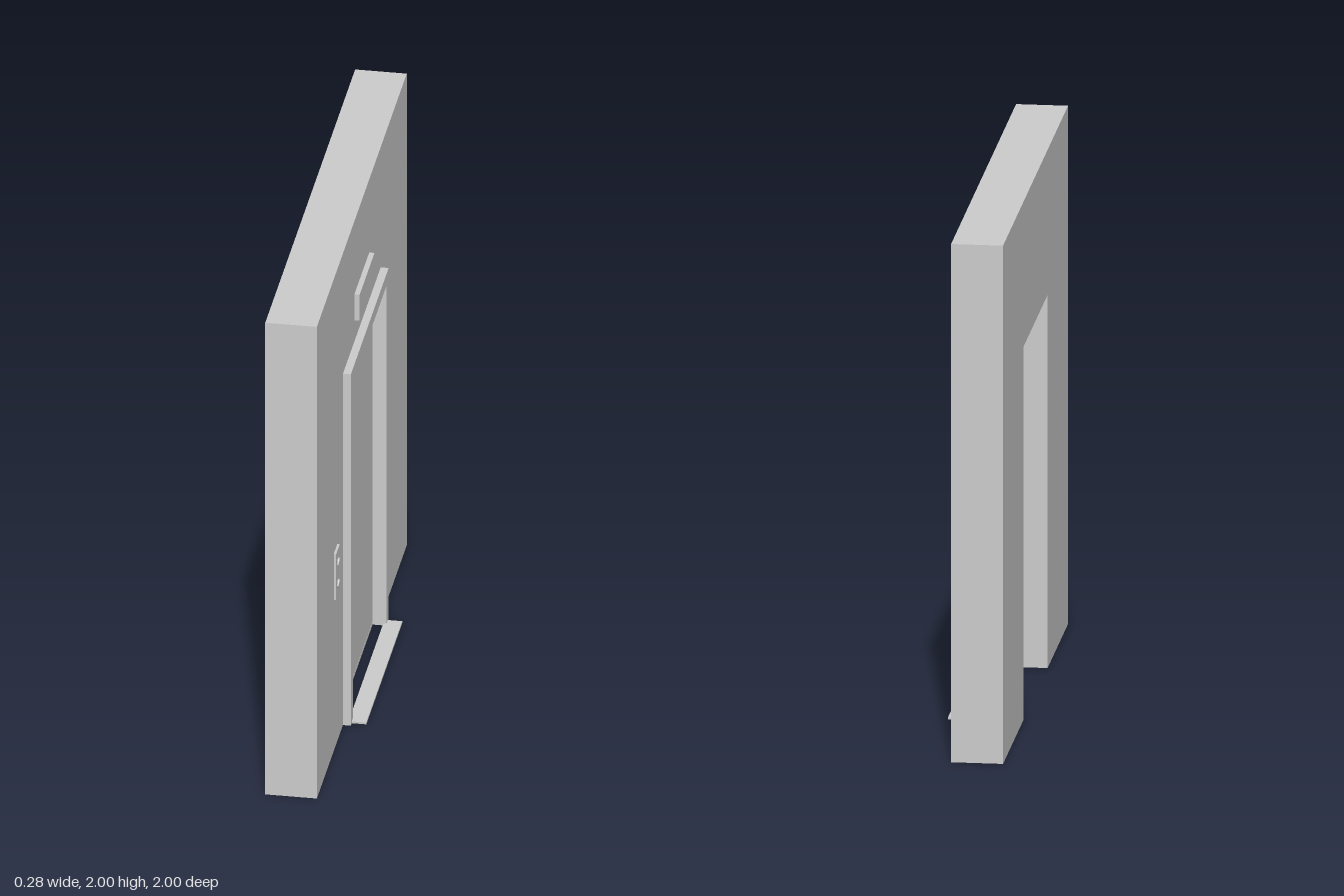
import * as THREE from 'three';

const material = new THREE.MeshStandardMaterial({ color: 0xcccccc });

export function createModel() {
  const model = new THREE.Group();
  model.name = 'elevatorEntrance';

  // Box given by its extents on each axis
  const box = (name, [x0, x1], [y0, y1], [z0, z1]) => {
    const mesh = new THREE.Mesh(new THREE.BoxGeometry(x1 - x0, y1 - y0, z1 - z0), material);
    mesh.position.set((x0 + x1) / 2, (y0 + y1) / 2, (z0 + z1) / 2);
    mesh.name = name;
    model.add(mesh);
    return mesh;
  };
  const span = (a, b, side) => (side > 0 ? [a, b] : [-b, -a]);

  const back = -0.14, face = 0.055, frameFace = 0.085;

  // Wall sections either side of the doorway and above it
  for (const side of [1, -1]) box('wallSide', [back, face], [0, 2], span(0.42, 1, side));
  box('wallHeader', [back, face], [1.49, 2], [-0.42, 0.42]);

  // Door frame: one U-shaped section running through the wall
  const outline = new THREE.Shape();
  [[-0.42, 0], [-0.37, 0], [-0.37, 1.44], [0.37, 1.44], [0.37, 0], [0.42, 0], [0.42, 1.49], [-0.42, 1.49]]
    .forEach(([x, y], i) => (i ? outline.lineTo(x, y) : outline.moveTo(x, y)));
  const frame = new THREE.Mesh(
    new THREE.ExtrudeGeometry(outline, { depth: frameFace - back, bevelEnabled: false }), material);
  frame.rotation.y = Math.PI / 2;
  frame.position.x = back;
  frame.name = 'doorFrame';
  model.add(frame);

  // Two sliding door panels over a bottom track
  for (const side of [1, -1]) box('doorPanel', [0.013, 0.033], [0.015, 1.44], span(0.0005, 0.37, side));
  box('doorTrack', [0.013, 0.033], [0, 0.013], [-0.37, 0.37]);

  // Threshold plate in front of the doors
  box('sill', [0.073, 0.14], [0, 0.008], [-0.4, 0.4]);

  // Floor indicator above the doorway
  box('floorIndicator', [face, 0.075], [1.58, 1.69], [-0.165, 0.165]);

  // Call plate with two round buttons
  box('callPlate', [face, 0.064], [0.64, 0.835], [0.543, 0.622]);
  for (const y of [0.78, 0.69]) {
    const button = new THREE.Mesh(new THREE.CylinderGeometry(0.017, 0.017, 0.012, 24), material);
    button.rotation.z = -Math.PI / 2;
    button.position.set(0.065, y, 0.583);
    button.name = 'callButton';
    model.add(button);
  }

  // Small square wall plate on the other side
  box('wallPlate', [face, 0.059], [1.005, 1.068], [-0.511, -0.449]);

  return model;
}
